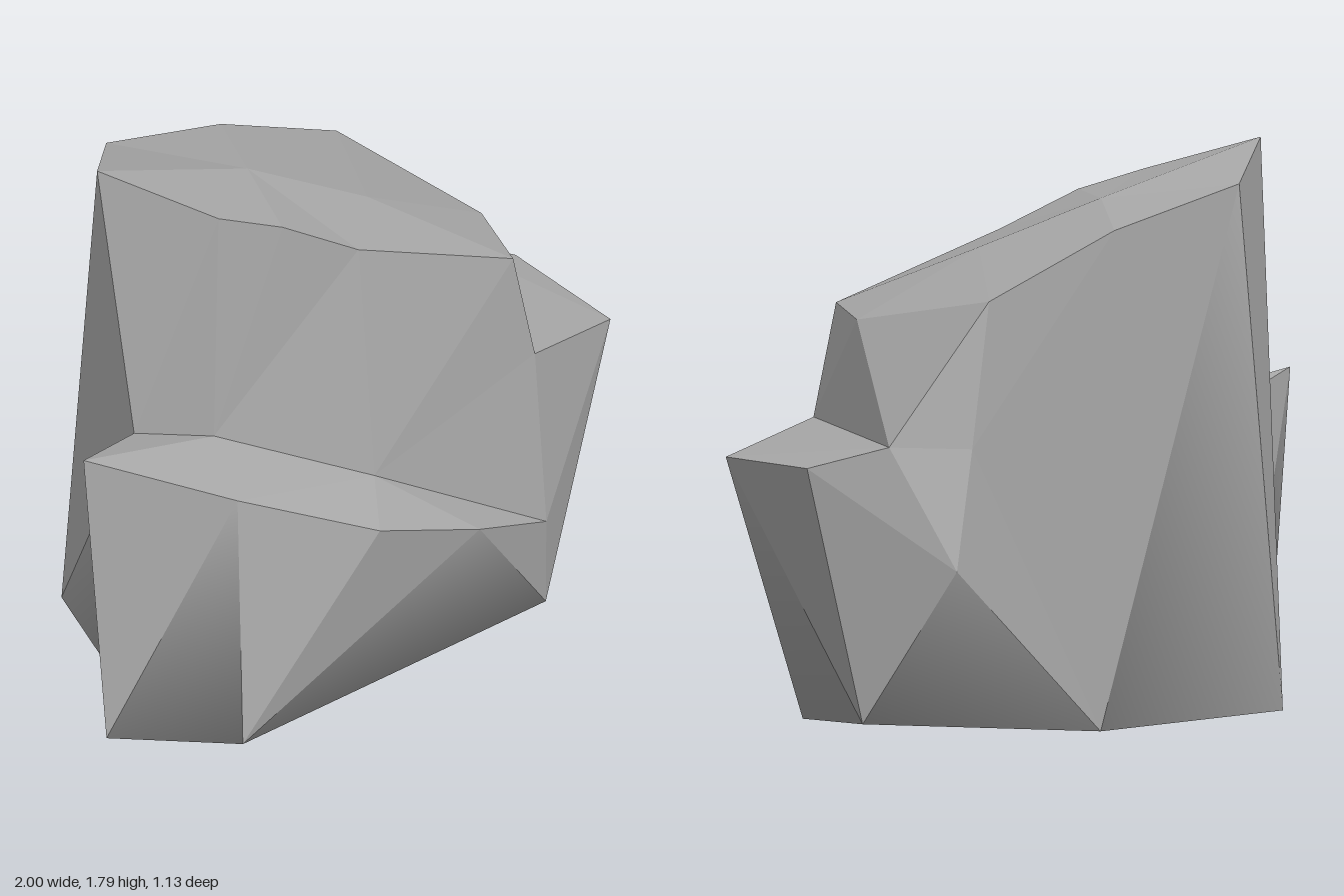
import * as THREE from 'three';

// Corners of the boulder, grouped by level
const P = {
  // crown: rim (r) running front, right, back; two inner points (m)
  r0: [-0.70, 1.79, -0.21], r1: [-0.45, 1.67, 0.09], r2: [-0.26, 1.61, 0.17], r3: [-0.03, 1.49, 0.26],
  r4: [0.53, 1.29, 0.32], r5: [0.63, 1.28, 0.02], r6: [0.46, 1.39, -0.51], r7: [0, 1.58, -0.50],
  r8: [-0.47, 1.69, -0.47], m0: [-0.15, 1.63, -0.16], m1: [0.20, 1.48, 0],
  // seam (s) where the upper block meets the ledge
  s0: [-0.69, 0.92, -0.03], s1: [-0.49, 0.91, 0.12], s2: [-0.05, 0.73, 0.37],
  s3: [0.60, 0.93, 0.34], s4: [0.77, 0.94, -0.42], s5: [0.53, 0.93, -0.525],
  // outer lip (l) of the ledge
  l0: [-1, 1, 0.12], l1: [-0.60, 0.84, 0.39], l2: [-0.17, 0.66, 0.56], l3: [0.25, 0.50, 0.52],
  l4: [0.60, 0.35, 0.40], l5: [1, 0.85, 0.20], l6: [0.98, 0.87, -0.27], l7: [0.60, 0.55, -0.55],
  // base outline (b)
  b0: [-0.97, 0.02, 0.20], b1: [-0.65, 0.02, 0.485], b2: [0.62, 0.04, 0.37], b3: [0.75, 0.01, 0.15],
  b4: [0.79, 0.05, -0.29], b5: [0.05, 0, -0.50], b6: [-0.57, 0.03, -0.57], b7: [-0.74, 0.02, -0.03],
};

// Zip an upper and a lower line together; a repeated corner makes a fan
function zip(upper, lower) {
  const t = upper.split(' '), b = lower.split(' '), tris = [];
  for (let i = 0; i + 1 < t.length; i++) {
    if (b[i] !== b[i + 1]) tris.push([b[i], b[i + 1], t[i + 1]]);
    if (t[i] !== t[i + 1]) tris.push([b[i], t[i + 1], t[i]]);
  }
  return tris;
}

function facets(tris, smooth) {
  const corners = tris.flat();
  const names = smooth ? [...new Set(corners)] : corners;
  const geo = new THREE.BufferGeometry();
  geo.setAttribute('position', new THREE.Float32BufferAttribute(names.flatMap((n) => P[n]), 3));
  if (smooth) geo.setIndex(corners.map((n) => names.indexOf(n)));
  geo.computeVertexNormals();
  return geo;
}

export function createModel() {
  const group = new THREE.Group();
  group.name = 'boulder';
  const stone = new THREE.MeshStandardMaterial({ color: 0xa8a8a8 });
  stone.name = 'grey stone';
  const add = (name, tris, smooth = false) => {
    const mesh = new THREE.Mesh(facets(tris, smooth), stone);
    mesh.name = name;
    group.add(mesh);
  };

  // Sloping top
  add('crown', zip(
    'm0 m0 m0 m0 m1 m1 m1 m1 m1 m0 m0 m0',
    'r0 r1 r2 r3 r3 r4 r5 r6 r7 r7 r8 r0'));

  // Upper block: front, right, back and left
  const wall = zip(
    'r0 r1 r2 r3 r4 r4 r5 r6 r6 r7 r7 r8 r8 r0 r0',
    's0 s1 s1 s2 s2 s3 s4 s4 s5 s5 b5 b5 b6 b6 s0');

  // Ledge around the front and right, wrapping to the back
  add('ledge', zip(
    's0 s1 s2 s2 s2 s3 s3 s4 s4 s5 s5',
    'l0 l1 l2 l3 l4 l4 l5 l6 l7 l7 b5'));

  // Lower flanks from the lip to the ground
  const flank = zip(
    's0 s0 l0 l0 l1 l1 l2 l3 l3 l4 l5 l5 l5 l6 l7 l7',
    'b6 b7 b7 b0 b0 b1 b1 b1 b2 b2 b2 b3 b4 b4 b4 b5');

  // Facets standing on a base edge blend softly into the underside
  const onBase = (tri) => tri.filter((n) => n[0] === 'b').length > 1;
  const sides = [...wall, ...flank];
  const underside = [];
  for (let i = 0; i < 6; i++) underside.push(['b7', `b${i + 1 > 6 ? 0 : i + 1}`, `b${i}`]);
  add('upperBlock', wall.filter((t) => !onBase(t)));
  add('flanks', flank.filter((t) => !onBase(t)));
  add('foot', [...sides.filter(onBase), ...underside], true);
  return group;
}
